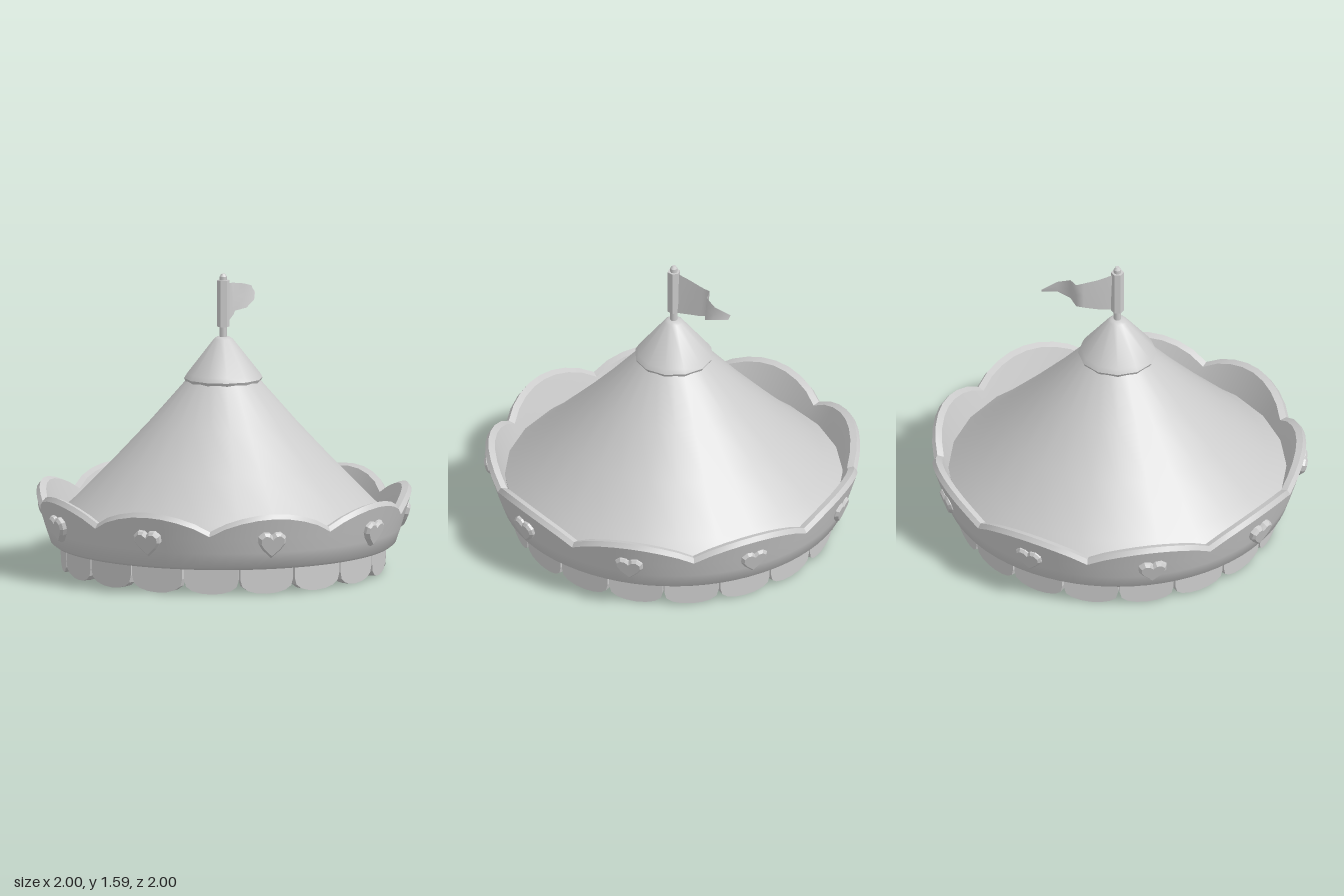
import * as THREE from 'three';
import { toCreasedNormals } from 'three/addons/utils/BufferGeometryUtils.js';

const V2 = (x, y) => new THREE.Vector2(x, y);
const SCALLOPS = 9, TABS = 18;

// Surface from a grid of points: rows are cross-sections, optionally closed both ways
function loft(rows, closed) {
  const n = rows[0].length, m = rows.length, index = [];
  for (let i = 0; i < (closed ? m : m - 1); i++) {
    for (let j = 0; j < (closed ? n : n - 1); j++) {
      const i2 = (i + 1) % m, j2 = (j + 1) % n;
      const a = i * n + j, b = i2 * n + j, c = i2 * n + j2, d = i * n + j2;
      index.push(a, b, c, a, c, d);
    }
  }
  const g = new THREE.BufferGeometry();
  g.setAttribute('position', new THREE.Float32BufferAttribute(rows.flat(2), 3));
  g.setIndex(index);
  g.computeVertexNormals();
  return g;
}

// Flared band with a scalloped, rounded top edge
function crownGeometry() {
  const rows = [], steps = SCALLOPS * 8;
  for (let i = 0; i < steps; i++) {
    const t = (i / steps) * Math.PI * 2;
    const top = 0.36 + 0.095 * Math.pow(Math.abs(Math.cos(t * SCALLOPS / 2)), 0.8);
    const flare = y => 0.92 + 0.085 * (y - 0.15) / 0.28;
    const section = [
      [0.9, 0.145], [0.92, 0.16], [flare(0.24), 0.24], [flare(0.32), 0.32],
      [flare(top - 0.025), top - 0.025], [flare(top) - 0.025, top],
      [flare(top) - 0.06, top - 0.01], [0.895, 0.27], [0.86, 0.145],
    ];
    rows.push(section.map(([r, y]) => [r * Math.sin(t), y, r * Math.cos(t)]));
  }
  return toCreasedNormals(loft(rows, true), 0.7);
}

// Small faceted heart
function heartGeometry() {
  const half = [[0, 0.036], [0.02, 0.055], [0.042, 0.057], [0.062, 0.04], [0.062, 0.012], [0.042, -0.018], [0, -0.058]];
  const left = half.slice(1, -1).reverse().map(([x, y]) => [-x, y]);
  const shape = new THREE.Shape([...half, ...left].map(p => V2(...p)));
  return new THREE.ExtrudeGeometry(shape, {
    depth: 0.03, bevelEnabled: true, bevelSize: 0.012, bevelThickness: 0.014, bevelSegments: 1,
  });
}

// Hanging tab with a rounded lower end
function tabGeometry() {
  const w = 0.146, pts = [V2(w, 0.16)];
  for (let i = 0; i <= 8; i++) {
    const a = (i / 8) * Math.PI;
    pts.push(V2(w * Math.cos(a), 0.085 - 0.08 * Math.pow(Math.sin(a), 0.75)));
  }
  pts.push(V2(-w, 0.16));
  return new THREE.ExtrudeGeometry(new THREE.Shape(pts), { depth: 0.045, bevelEnabled: false });
}

// Pleated lining: a fan of folds meeting at the centre, facing down
function liningGeometry() {
  const rows = [], n = TABS * 2;
  for (let i = 0; i <= n; i++) {
    const t = (i / n) * Math.PI * 2, y = i % 2 ? 0.15 : 0.11;
    rows.push([[0, 0.17, 0], [0.84 * Math.sin(t), y, 0.84 * Math.cos(t)]]);
  }
  return loft(rows, false);
}

// Waving pennant: z, x, bottom y, top y
function flagGeometry() {
  const cuts = [
    [-0.02, 0, 1.31, 1.55], [-0.1, -0.02, 1.325, 1.53], [-0.18, -0.03, 1.345, 1.515], [-0.22, -0.038, 1.36, 1.51],
    [-0.25, 0.015, 1.375, 1.505], [-0.32, 0.028, 1.41, 1.485], [-0.405, -0.005, 1.435, 1.457],
  ];
  return loft(cuts.map(([z, x, y0, y1]) => [[x + 0.008, y0, z], [x, (y0 + y1) / 2, z], [x - 0.008, y1, z]]), false);
}

export function createModel() {
  const model = new THREE.Group();
  const grey = new THREE.MeshStandardMaterial({ color: 0xcccccc });
  grey.name = 'light grey';
  const greySheet = grey.clone();
  greySheet.side = THREE.DoubleSide;

  const add = (name, geometry, material = grey, parent = model) => {
    const mesh = new THREE.Mesh(geometry, material);
    mesh.name = name;
    parent.add(mesh);
    return mesh;
  };
  const lathe = (pts, sides) => toCreasedNormals(new THREE.LatheGeometry(pts.map(p => V2(...p)), sides), 0.6);

  // Repeats a part around the vertical axis
  const ring = (name, geometry, count, place) => {
    const group = new THREE.Group();
    group.name = name + 's';
    for (let i = 0; i < count; i++) {
      const arm = new THREE.Group();
      arm.rotation.y = (i / count) * Math.PI * 2;
      place(add(name, geometry, grey, arm));
      group.add(arm);
    }
    model.add(group);
    return group;
  };

  // Canopy and its cap
  add('roof', lathe([[0.88, 0.16], [0.9, 0.28], [0.8, 0.37], [0.585, 0.59], [0.39, 0.8], [0.19, 1.03]], 24));
  add('roofCap', lathe([[0, 1.015], [0.2, 1.015], [0.21, 1.035], [0.195, 1.06], [0.05, 1.245], [0.035, 1.255], [0, 1.257]], 12));
  add('lining', liningGeometry(), greySheet);

  // Scalloped crown, hearts and hanging tabs
  add('crown', crownGeometry());
  ring('heart', heartGeometry(), SCALLOPS, m => {
    m.position.set(0, 0.295, 0.945);
    m.rotation.x = 0.28;
  }).position.z = 0.01;
  ring('valanceTab', tabGeometry(), TABS, m => { m.position.z = 0.81; });

  // Pole, sleeve and pennant
  add('pole', new THREE.CylinderGeometry(0.02, 0.02, 0.34, 8)).position.y = 1.41;
  add('poleTip', new THREE.CylinderGeometry(0.01, 0.02, 0.015, 8)).position.y = 1.5875;
  const sleeve = new THREE.CylinderGeometry(0.034, 0.034, 0.25, 6).toNonIndexed();
  sleeve.computeVertexNormals();
  add('flagSleeve', sleeve).position.y = 1.435;
  add('flag', flagGeometry(), greySheet);

  return model;
}
